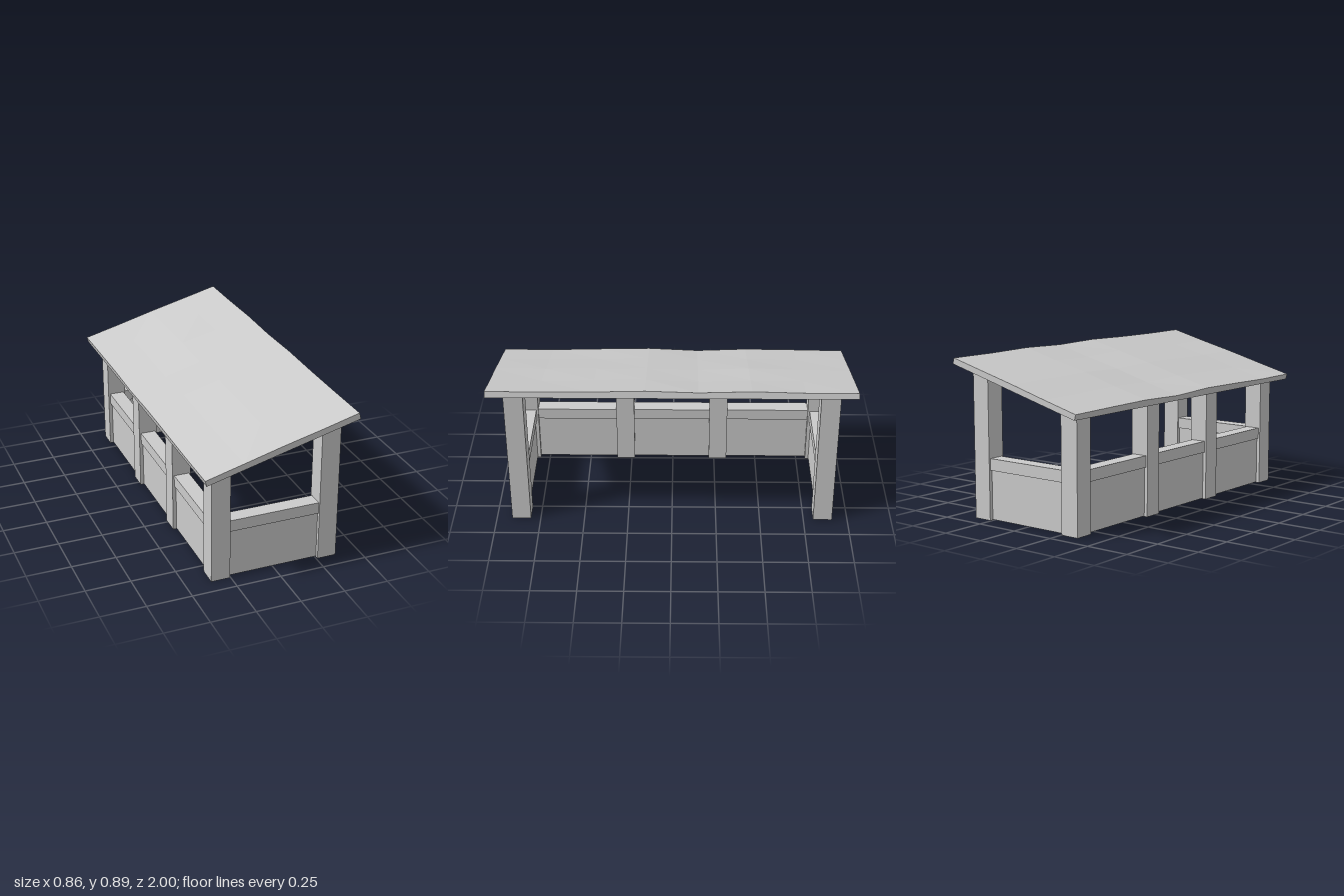
import * as THREE from 'three';

const mat = new THREE.MeshStandardMaterial({ color: 0xcccccc, flatShading: true });
const POST = 0.107, LOW_X = -0.307, HIGH_X = 0.311, END_Z = 0.859;
const WALL_T = 0.066, RAIL_T = 0.086, RAIL_Y = 0.275, RAIL_TOP = 0.34;

function add(parent, name, geometry, x = 0, y = 0, z = 0) {
  const mesh = new THREE.Mesh(geometry, mat);
  mesh.name = name;
  mesh.position.set(x, y, z);
  parent.add(mesh);
  return mesh;
}

// Square post whose top is cut to follow the roof slope
function addPost(parent, name, x, z, innerTop, outerTop) {
  const h = POST / 2;
  const shape = new THREE.Shape([
    new THREE.Vector2(-h, 0), new THREE.Vector2(h, 0),
    new THREE.Vector2(h, outerTop), new THREE.Vector2(-h, innerTop),
  ]);
  const geo = new THREE.ExtrudeGeometry(shape, { depth: POST, bevelEnabled: false });
  geo.translate(0, 0, -h);
  add(parent, name, geo, x, 0, z);
}

// Half-height wall with a slightly thicker rail on top
function addWall(parent, name, length, x, z, turned) {
  const wall = new THREE.Group();
  wall.name = name;
  wall.position.set(x, 0, z);
  if (turned) wall.rotation.y = Math.PI / 2;
  const base = 0.003;
  add(wall, 'panel', new THREE.BoxGeometry(length, RAIL_Y - base, WALL_T), 0, (RAIL_Y + base) / 2);
  add(wall, 'rail', new THREE.BoxGeometry(length, RAIL_TOP - RAIL_Y, RAIL_T), 0, (RAIL_TOP + RAIL_Y) / 2);
  parent.add(wall);
}

// Sloping slab: flat underside, gently uneven top
function addRoof(parent) {
  const rise = 0.221, run = 0.847, length = Math.hypot(run, rise);
  const acrossSlope = [-0.001, -0.002, 0.003, 0.0, 0.0];
  const alongRoof = [0.033, 0.036, 0.041, 0.032, 0.042, 0.037, 0.033, 0.035];
  const geo = new THREE.BoxGeometry(length, 1, 2, 4, 1, 7);
  const p = geo.attributes.position;
  for (let i = 0; i < p.count; i++) {
    const ix = Math.round((p.getX(i) / length + 0.5) * 4);
    const iz = Math.round((p.getZ(i) + 1) * 3.5);
    const top = alongRoof[iz] + acrossSlope[ix] + 0.0015 * Math.sin(ix * 2.3 + iz * 1.7);
    p.setY(i, p.getY(i) > 0 ? top : 0);
  }
  geo.computeVertexNormals();
  const roof = add(parent, 'roof', geo, 0.0035, 0.7375, 0);
  roof.rotation.z = Math.atan2(rise, run);
}

export function createModel() {
  const model = new THREE.Group();
  model.name = 'openShelter';

  // Four short posts on the low side, two tall ones on the open side
  for (const z of [END_Z, 0.285, -0.272, -END_Z]) addPost(model, 'lowPost', LOW_X, z, 0.637, 0.657);
  for (const z of [END_Z, -END_Z]) addPost(model, 'tallPost', HIGH_X, z, 0.805, 0.832);

  // Walls on the low side and both ends
  addWall(model, 'lowSideWall', 2 * END_Z - WALL_T, LOW_X, 0, true);
  for (const z of [END_Z, -END_Z]) addWall(model, 'endWall', 0.645, -0.0175, z, false);

  addRoof(model);
  return model;
}
